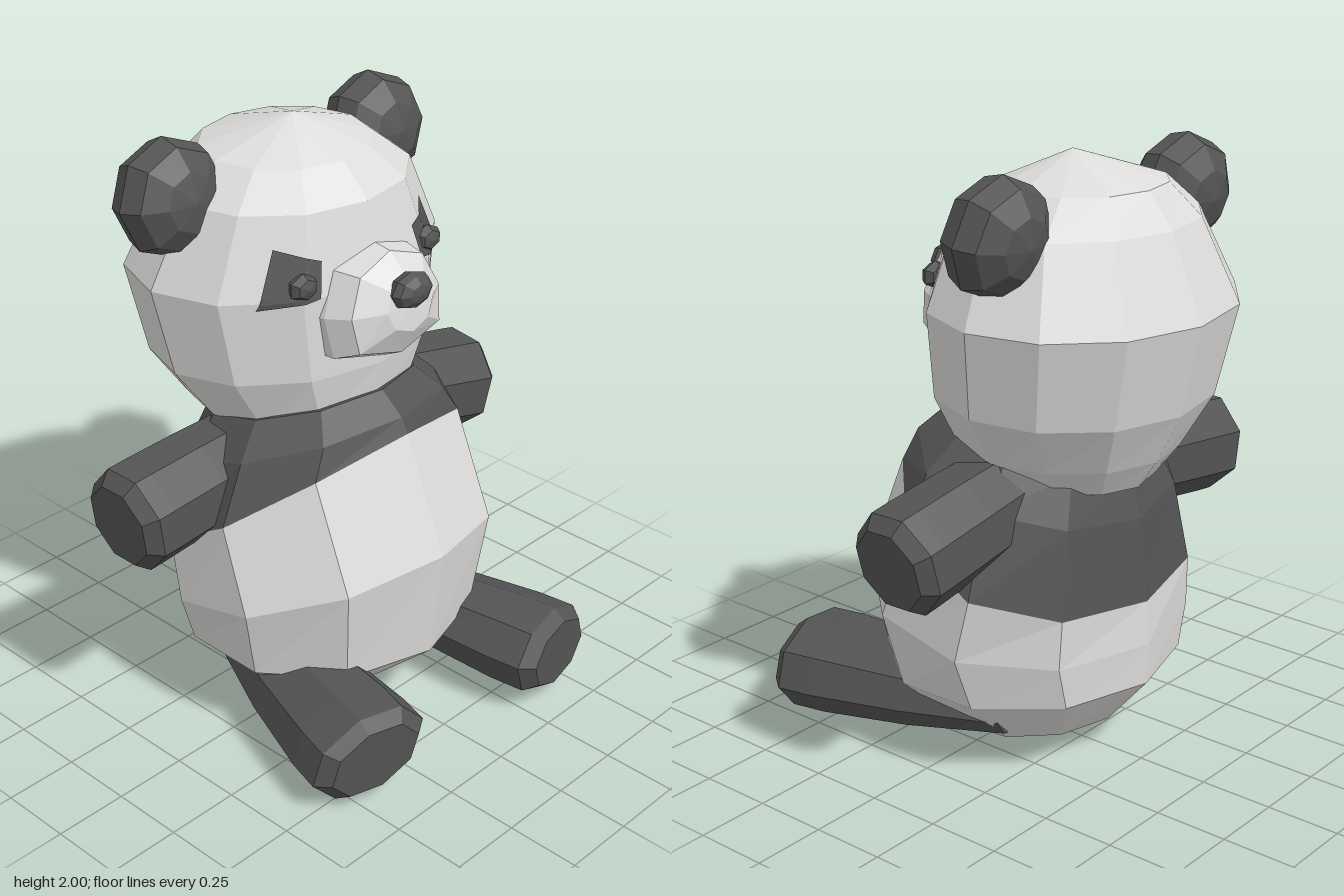
import * as THREE from 'three';

const light = new THREE.MeshStandardMaterial({ color: 0xdedcda, flatShading: true });
light.name = 'lightFur';
const dark = new THREE.MeshStandardMaterial({ color: 0x545454, flatShading: true });
dark.name = 'darkFur';

// Skin over tilted elliptical rings, bottom to top,
// each given as [xBack, yBack, xFront, yFront, zRadius, sag at the sides]
function loft(sides, rings) {
  const at = ([xb, yb, xf, yf, rz, sag = 0], j) => {
    const t = (j / sides) * Math.PI * 2, c = Math.cos(t), s = Math.sin(t);
    return [(xb + xf) / 2 + c * (xf - xb) / 2, (yb + yf) / 2 + c * (yf - yb) / 2 - sag * s * s, rz * s];
  };
  const pos = [];
  for (let i = 0; i < rings.length - 1; i++) {
    const lo = rings[i], hi = rings[i + 1];
    for (let j = 0; j < sides; j++) {
      const a = at(lo, j), b = at(lo, j + 1), c = at(hi, j), d = at(hi, j + 1);
      if (lo[4] > 0) pos.push(...a, ...c, ...b);
      if (hi[4] > 0) pos.push(...b, ...c, ...d);
    }
  }
  const g = new THREE.BufferGeometry();
  g.setAttribute('position', new THREE.Float32BufferAttribute(pos, 3));
  g.computeVertexNormals();
  return g;
}

// Eight-sided turned part whose axis runs from one point toward another
function turned(profile, from, to, scaleX, scaleZ, twist = 0) {
  const g = new THREE.LatheGeometry(profile.map(p => new THREE.Vector2(...p)), 8);
  g.rotateY(twist);
  g.scale(scaleX, 1, scaleZ);
  const start = new THREE.Vector3(...from);
  const dir = new THREE.Vector3(...to).sub(start).normalize();
  g.applyQuaternion(new THREE.Quaternion().setFromUnitVectors(new THREE.Vector3(0, 1, 0), dir));
  g.translate(...from);
  return g;
}

// Limb that widens toward a bevelled end
function limb(from, to, rx, rz, startScale, twist) {
  const len = new THREE.Vector3(...from).distanceTo(new THREE.Vector3(...to));
  const mid = (startScale + 2) / 3;
  const profile = [[0, 0], [startScale, 0], [mid, len * 0.42], [1, len * 0.8], [1, len - 0.045], [0.78, len], [0, len]];
  return turned(profile, from, to, rx, rz, twist);
}

// Faceted ellipsoid with its pole along x, leaning back by tilt
function blob(center, rx, ry, rz, sides = 8, rows = 6, tilt = 0) {
  const g = new THREE.SphereGeometry(1, sides, rows);
  g.rotateZ(-Math.PI / 2);
  g.scale(rx, ry, rz);
  g.rotateZ(tilt);
  g.translate(...center);
  return g;
}

export function createModel() {
  const group = new THREE.Group();
  // The head with its face and ears is turned slightly aside
  const headGroup = new THREE.Group();
  headGroup.name = 'headGroup';
  headGroup.rotation.y = -0.04;
  group.add(headGroup);
  const add = (parent, name, geometry, material) => {
    const m = new THREE.Mesh(geometry, material);
    m.name = name;
    parent.add(m);
    return m;
  };

  // Torso: light belly, dark shoulders meeting at a slanted ring
  const seam = [-0.51, 0.57, 0.31, 1.05, 0.575, 0.07];
  add(group, 'belly', loft(10, [
    [-0.1, 0, -0.1, 0, 0],
    [-0.36, 0.1, 0.2, 0.06, 0.31],
    [-0.515, 0.28, 0.43, 0.27, 0.52],
    [-0.52, 0.42, 0.475, 0.66, 0.585, 0.05],
    seam,
  ]), light);
  add(group, 'shoulders', loft(10, [
    seam,
    [-0.48, 0.85, 0.285, 1.1, 0.48],
    [-0.43, 1.01, 0.2, 1.17, 0.37],
    [-0.1, 1.1, -0.1, 1.1, 0],
  ]), dark);

  // Head
  const head = add(headGroup, 'head', loft(12, [
    [-0.2, 0.93, -0.2, 0.93, 0],
    [-0.48, 0.96, 0.1, 0.99, 0.27],
    [-0.55, 1.06, 0.17, 1.08, 0.37],
    [-0.64, 1.23, 0.2, 1.27, 0.495],
    [-0.71, 1.53, 0.2, 1.55, 0.548],
    [-0.59, 1.8, 0.135, 1.8, 0.425],
    [-0.5, 1.91, 0.03, 1.9, 0.29],
    [-0.2, 2, -0.2, 2, 0],
  ]), light);

  // Muzzle, tilted up and fuller toward the chin
  const muzzle = turned([[0.95, 0], [1, 0.11], [0.86, 0.2], [0.45, 0.262], [0, 0.27]],
    [0.065, 1.468, 0], [1.065, 1.648, 0], 0.192, 0.222);
  const mp = muzzle.attributes.position;
  for (let i = 0; i < mp.count; i++) {
    if (mp.getY(i) < 1.44) mp.setZ(i, mp.getZ(i) * 1.3);
  }
  muzzle.computeVertexNormals();
  add(headGroup, 'muzzle', muzzle, light);
  add(headGroup, 'nose', blob([0.323, 1.565, 0], 0.05, 0.06, 0.082), dark);

  // Eye patches are laid onto the head surface
  const ray = new THREE.Raycaster();
  const onHead = (y, z) => {
    ray.set(new THREE.Vector3(2, y, z), new THREE.Vector3(-1, 0, 0));
    const hit = ray.intersectObject(head)[0];
    return hit ? hit.point.x : 0;
  };
  const lerp = THREE.MathUtils.lerp;
  for (const s of [1, -1]) {
    const side = s > 0 ? 'left' : 'right';
    const patch = new THREE.PlaneGeometry(1, 1, 10, 10);
    const p = patch.attributes.position;
    for (let i = 0; i < p.count; i++) {
      const u = p.getX(i) + 0.5, v = p.getY(i) + 0.5;
      // u runs toward -z so the plate faces forward
      const w = s > 0 ? 1 - u : u;
      const z = s * lerp(lerp(0.22, 0.195, v), lerp(0.39, 0.315, v), w);
      const y = lerp(lerp(1.55, 1.525, w), lerp(1.66, 1.705, w), v);
      p.setXYZ(i, onHead(y, z) + 0.008, y, z);
    }
    patch.computeVertexNormals();
    add(headGroup, side + 'EyePatch', patch, dark);
    add(headGroup, side + 'Eye',
      blob([onHead(1.595, s * 0.27) + 0.008, 1.595, s * 0.27], 0.035, 0.045, 0.055, 6, 4), dark);
    add(headGroup, side + 'Ear', blob([-0.285, 1.812, s * 0.437], 0.14, 0.192, 0.192, 8, 6, 0.13), dark);
  }

  // Arms
  const turn = Math.PI / 8;
  add(group, 'leftArm', limb([-0.17, 0.9, 0.25], [-0.19, 0.845, 0.79], 0.178, 0.178, 0.92, turn), dark);
  add(group, 'rightArm', limb([-0.14, 0.93, -0.25], [-0.105, 0.82, -0.77], 0.178, 0.178, 0.92, turn), dark);

  // Legs, wider than tall
  add(group, 'leftLeg', limb([-0.18, 0.2, 0.25], [0.605, 0.165, 0.452], 0.15, 0.212, 0.58, 0), dark);
  add(group, 'rightLeg', limb([-0.18, 0.2, -0.26], [0.668, 0.175, -0.398], 0.152, 0.212, 0.58, 0), dark);

  return group;
}
